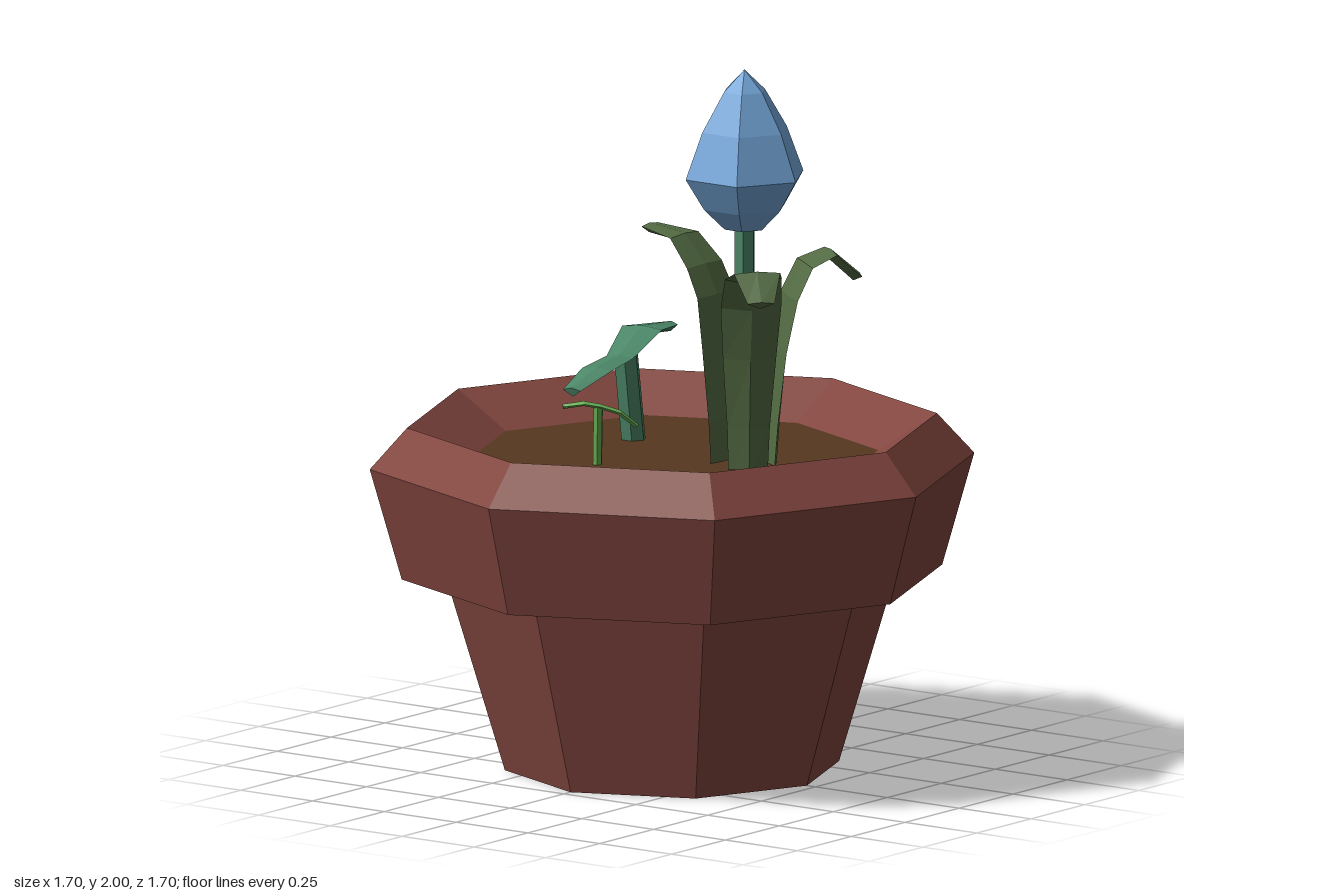
import * as THREE from 'three';

const mat = (name, color) => {
  const m = new THREE.MeshStandardMaterial({ color });
  m.name = name;
  return m;
};

// Faceted mesh: every face gets its own normal
function part(name, geometry, material) {
  const flat = geometry.index ? geometry.toNonIndexed() : geometry;
  flat.computeVertexNormals();
  const mesh = new THREE.Mesh(flat, material);
  mesh.name = name;
  return mesh;
}

const lathe = (profile, sides) =>
  new THREE.LatheGeometry(profile.map(([r, y]) => new THREE.Vector2(r, y)), sides);

// Tapered ribbon through points; four-cornered section, inner and outer ridge heights
function blade(points, halfWidths, inner, outer) {
  const p = points.map((a) => new THREE.Vector3(...a));
  const last = p.length - 1;
  const run = p[last].clone().sub(p[0]).setY(0).normalize();
  const side = new THREE.Vector3(0, 1, 0).cross(run);
  const pos = [], idx = [];
  p.forEach((c, i) => {
    const t = p[Math.min(i + 1, last)].clone().sub(p[Math.max(i - 1, 0)]);
    const n = t.cross(side).normalize();
    const w = halfWidths[i];
    for (const [s, h] of [[w, 0], [0, inner], [-w, 0], [0, -outer]]) {
      pos.push(...c.clone().addScaledVector(side, s).addScaledVector(n, h).toArray());
    }
    if (i === last) return;
    for (let j = 0; j < 4; j++) {
      const a = i * 4 + j, b = i * 4 + (j + 1) % 4;
      idx.push(a, b, b + 4, a, b + 4, a + 4);
    }
  });
  const e = last * 4;
  idx.push(0, 2, 1, 0, 3, 2, e, e + 1, e + 2, e, e + 2, e + 3);
  const g = new THREE.BufferGeometry();
  g.setAttribute('position', new THREE.Float32BufferAttribute(pos, 3));
  g.setIndex(idx);
  return g;
}

// Six-sided stalk between two points
function stalk(from, to, rBottom, rTop) {
  const a = new THREE.Vector3(...from), b = new THREE.Vector3(...to);
  const d = b.clone().sub(a);
  const g = new THREE.CylinderGeometry(rTop, rBottom, d.length(), 6);
  g.applyQuaternion(new THREE.Quaternion().setFromUnitVectors(
    new THREE.Vector3(0, 1, 0), d.clone().normalize()));
  const m = a.add(b).multiplyScalar(0.5);
  return g.translate(m.x, m.y, m.z);
}

export function createModel() {
  const model = new THREE.Group();
  model.name = 'pottedFlower';
  const clay = mat('clay', 0x82463f);
  const earth = mat('earth', 0x57371f);
  const petal = mat('petalBlue', 0x73a5d8);
  const olive = mat('leafOlive', 0x536b43);
  const teal = mat('stemGreen', 0x4c8768);
  const lime = mat('sproutGreen', 0x68b055);

  // Octagonal pot with bevelled collar, and the soil inside
  model.add(part('pot', lathe([[0, 0], [0.47, 0], [0.635, 0.55], [0.76, 0.55],
    [0.85, 0.865], [0.745, 0.98], [0.58, 0.88]], 8), clay));
  model.add(part('soil', lathe([[0.58, 0.88], [0, 0.88]], 8), earth));

  // Flower: stem, closed bud and three leaves around it
  const flower = new THREE.Group();
  flower.name = 'flower';
  flower.position.set(0.03, 0, 0.23);
  flower.add(part('stem', stalk([0, 0.86, 0], [0, 1.57, 0], 0.031, 0.031), teal));
  flower.add(part('bud', lathe([[0, 1.55], [0.06, 1.55], [0.122, 1.61], [0.178, 1.7],
    [0.128, 1.83], [0.062, 1.94], [0, 2]], 6), petal));

  const drooping = [[0.07, 0.86], [0.08, 1], [0.1, 1.2], [0.13, 1.35], [0.175, 1.44],
    [0.25, 1.47], [0.33, 1.4]];
  const upright = [[0.075, 0.86], [0.08, 1], [0.09, 1.2], [0.1, 1.35], [0.14, 1.43],
    [0.21, 1.505], [0.33, 1.52]];
  const widths = [0.055, 0.06, 0.075, 0.085, 0.08, 0.065, 0.038];
  for (const [name, dx, dz, path] of [
    ['backLeaf', 0, -1, upright],
    ['frontRightLeaf', -0.707, 0.707, drooping],
    ['frontLeftLeaf', 0.8, 0.6, drooping],
  ]) {
    const points = path.map(([r, y]) => [dx * r, y, dz * r]);
    flower.add(part(name, blade(points, widths, 0.006, 0.022), olive));
  }
  model.add(flower);

  // Large two-leaved seedling at the back
  const seedling = new THREE.Group();
  seedling.name = 'seedling';
  seedling.add(part('seedlingStem', stalk([0.13, 0.86, -0.23], [0.085, 1.13, -0.225], 0.036, 0.036), teal));
  seedling.add(part('seedlingLeaves', blade(
    [[-0.205, 1.075, -0.195], [-0.09, 1.115, -0.195], [0.05, 1.125, -0.22],
      [0.2, 1.18, -0.255], [0.355, 1.165, -0.27]],
    [0.028, 0.047, 0.042, 0.063, 0.022], 0.008, 0.02), teal));
  model.add(seedling);

  // Tiny sprout on the right
  const sprout = new THREE.Group();
  sprout.name = 'sprout';
  sprout.add(part('sproutStem', stalk([-0.22, 0.86, -0.095], [-0.235, 1.05, -0.08], 0.014, 0.014), lime));
  sprout.add(part('sproutLeaves', blade(
    [[-0.3, 1.05, -0.155], [-0.27, 1.06, -0.105], [-0.235, 1.05, -0.075],
      [-0.19, 1.03, -0.04], [-0.14, 0.985, -0.015]],
    [0.008, 0.02, 0.017, 0.02, 0.007], 0.006, 0.008), lime));
  model.add(sprout);

  return model;
}
